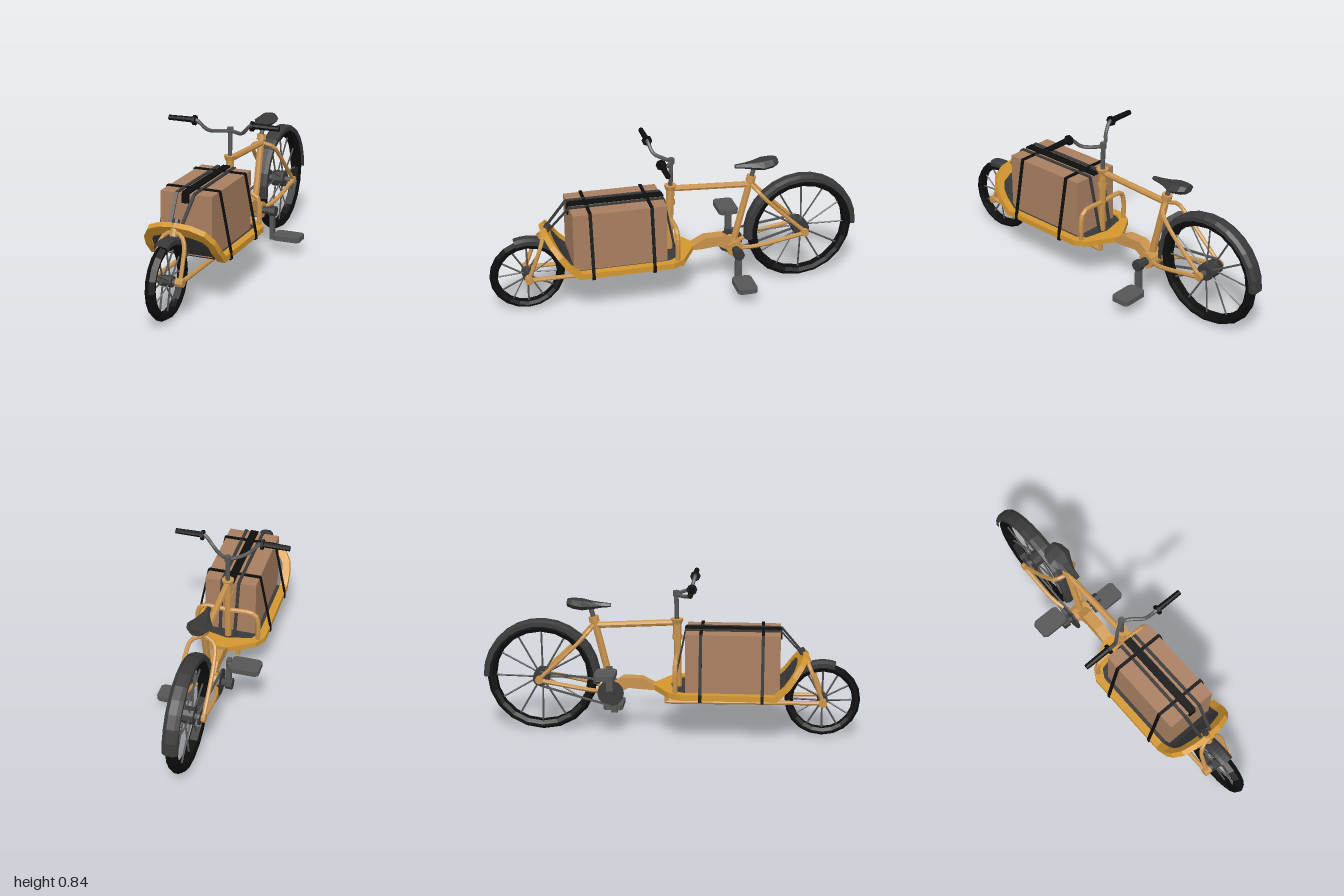
import * as THREE from 'three';

const V = (x, y, z) => new THREE.Vector3(x, y, z);
const mat = (name, color) => {
  const m = new THREE.MeshStandardMaterial({ color, side: THREE.DoubleSide });
  m.name = name;
  return m;
};

export function createModel() {
  const model = new THREE.Group();
  const frame = mat('frame amber', 0xc9934c), rim = mat('tray orange', 0xd4972f);
  const black = mat('rubber black', 0x0d0d0d), dark = mat('dark grey', 0x393939);
  const metal = mat('metal grey', 0x565656), card = mat('cardboard', 0xa97f61);

  // Faceted mesh
  const add = (name, geo, material, parent = model) => {
    const g = geo.index ? geo.toNonIndexed() : geo;
    g.computeVertexNormals();
    const m = new THREE.Mesh(g, material);
    m.name = name;
    parent.add(m);
    return m;
  };
  // Round rod between two points
  const rod = (name, a, b, r, material, r2 = r, sides = 8, parent = model) => {
    const m = add(name, new THREE.CylinderGeometry(r2, r, a.distanceTo(b), sides), material, parent);
    m.position.copy(a).add(b).multiplyScalar(0.5);
    m.quaternion.setFromUnitVectors(V(0, 1, 0), b.clone().sub(a).normalize());
    return m;
  };
  // Bent tube through points
  const tube = (name, pts, r, material, n = 16) =>
    add(name, new THREE.TubeGeometry(new THREE.CatmullRomCurve3(pts, false, 'centripetal'), n, r, 7), material);
  // Flat bar between two points
  const bar = (name, a, b, w, t, material) => {
    const m = add(name, new THREE.BoxGeometry(w, t, a.distanceTo(b)), material);
    m.position.copy(a).add(b).multiplyScalar(0.5);
    m.lookAt(b);
    return m;
  };
  const box = (name, w, h, d, x, y, z, material) => {
    const m = add(name, new THREE.BoxGeometry(w, h, d), material);
    m.position.set(x, y, z);
    return m;
  };
  // Skin through cross-sections
  const loft = (name, rings, closed, material) => {
    const n = rings[0].length, idx = [], R = rings.length;
    for (let i = 0; i < (closed ? R : R - 1); i++)
      for (let j = 0; j < n; j++) {
        const k = (j + 1) % n, q = ((i + 1) % R) * n;
        idx.push(i * n + j, i * n + k, q + k, i * n + j, q + k, q + j);
      }
    if (!closed) for (let j = 1; j < n - 1; j++) {
      const e = (R - 1) * n;
      idx.push(0, j + 1, j, e, e + j, e + j + 1);
    }
    const g = new THREE.BufferGeometry();
    g.setAttribute('position', new THREE.Float32BufferAttribute(rings.flat().flatMap(p => p.toArray()), 3));
    g.setIndex(idx);
    return add(name, g, material);
  };
  const lathe = (pts, segs, from = 0, len = Math.PI * 2) =>
    new THREE.LatheGeometry(pts.map(p => new THREE.Vector2(...p)), segs, from, len).rotateZ(Math.PI / 2);

  // Wheels with spokes, hub and mudguard
  const wheel = (name, y, z, r, depth, w, hub, guardFrom, guardTo) => {
    const g = new THREE.Group();
    g.name = name;
    g.position.set(0, y, z);
    model.add(g);
    add('tyre', lathe([[r - depth, -w * 0.7], [r - depth * 0.6, -w], [r - depth * 0.35, -w], [r, 0],
      [r - depth * 0.35, w], [r - depth * 0.6, w], [r - depth, w * 0.7], [r - depth, -w * 0.7]], 20), black, g);
    for (let i = 0; i < 12; i++) {
      const a = i * Math.PI / 6, s = i % 2 ? 0.02 : -0.02;
      rod('spoke', V(s, 0, 0), V(0, Math.sin(a) * (r - depth * 0.8), Math.cos(a) * (r - depth * 0.8)), 0.005, metal, 0.005, 4, g);
    }
    rod('hub', V(-0.035, 0, 0), V(0.035, 0, 0), hub, dark, hub, 10, g);
    rod('axle', V(-0.085, 0, 0), V(0.085, 0, 0), 0.015, metal, 0.015, 8, g);
    const o = r + 0.015, k = w + 0.009, d = Math.PI / 180;
    add('mudguard', lathe([[r - 0.018, -k], [r + 0.004, -k], [o, -k * 0.5], [o, k * 0.5], [r + 0.004, k], [r - 0.018, k],
      [r, k * 0.85], [o - 0.007, 0], [r, -k * 0.85], [r - 0.018, -k]], 14, guardFrom * d, (guardTo - guardFrom) * d), dark, g);
  };
  wheel('frontWheel', 0.203, 0.8, 0.198, 0.042, 0.026, 0.028, 72, 153);
  wheel('rearWheel', 0.3, -0.683, 0.296, 0.05, 0.03, 0.045, -6, 180);

  // Cargo tray: flat floor that bends up at the front
  const BEND = 0.56;
  const place = (x, s, h) => s < BEND ? V(x, 0.24 + h, s) : s === BEND ? V(x, 0.24 + h, s - 0.52 * h)
    : V(x, 0.24 + 0.82 * (s - BEND) + 0.57 * h, BEND + 0.57 * (s - BEND) - 0.82 * h + 0.02);
  // Half outline: outer x, outer s, inner x, inner s
  const half = [[0, -0.09, 0, 0], [0.04, -0.075, 0.04, 0.01], [0.165, 0, 0.13, 0.03], [0.2, 0.06, 0.16, 0.08],
    [0.2, BEND, 0.16, BEND], [0.198, 0.64, 0.157, 0.63], [0.188, 0.705, 0.152, 0.685],
    [0.15, 0.77, 0.13, 0.72], [0.08, 0.805, 0.07, 0.745], [0, 0.815, 0, 0.755]];
  const loop = half.concat(half.slice(1, -1).reverse().map(p => [-p[0], p[1], -p[2], p[3]]));
  loft('trayRim', loop.map(([a, s, b, t]) => [place(a, s, 0), place(a, s, 0.03), place(b, t, 0.03), place(b, t, 0)]), true, rim);
  loft('trayFloor', half.map(([, , b, t]) => [place(b, t, 0.008), place(b, t, 0.02), place(-b, t, 0.02), place(-b, t, 0.008)]), false, dark);

  // Cargo and straps
  box('cargoBox', 0.276, 0.313, 0.49, 0, 0.417, 0.33, card);
  for (const z of [0.165, 0.485]) {
    const p = [V(-0.202, 0.235, z), V(-0.2, 0.27, z), V(-0.141, 0.577, z), V(0.141, 0.577, z), V(0.2, 0.27, z), V(0.202, 0.235, z)];
    p.forEach((a, i) => bar('crossStrap', a, p[(i + 1) % p.length], 0.016, 0.008, black));
  }
  for (const s of [-1, 1]) {
    const p = [V(s * 0.04, 0.27, 0.02), V(s * 0.045, 0.577, 0.082), V(s * 0.047, 0.577, 0.579), V(s * 0.03, 0.45, 0.69)];
    for (let i = 0; i < 3; i++) bar('longStrap', p[i], p[i + 1], 0.016, 0.008, dark);
  }
  box('centreStrap', 0.042, 0.009, 0.5, 0, 0.579, 0.327, black);
  box('strapEnd', 0.038, 0.05, 0.009, 0, 0.552, 0.579, black);

  // Front fork arch, steering head and lower tubes
  tube('forkArch', [V(-0.07, 0.195, 0.805), V(-0.07, 0.3, 0.765), V(-0.065, 0.37, 0.738), V(-0.04, 0.41, 0.72), V(0, 0.42, 0.716),
    V(0.04, 0.41, 0.72), V(0.065, 0.37, 0.738), V(0.07, 0.3, 0.765), V(0.07, 0.195, 0.805)], 0.011, frame, 20);
  rod('forkHead', V(0, 0.4, 0.72), V(0, 0.46, 0.695), 0.02, frame);
  rod('forkCap', V(0, 0.45, 0.695), V(0, 0.475, 0.68), 0.018, dark);
  for (const s of [-1, 1]) {
    rod('lowerTube', V(s * 0.075, 0.203, 0.8), V(s * 0.07, 0.192, -0.02), 0.012, frame);
    rod('lowerTubeEnd', V(s * 0.07, 0.185, -0.015), V(s * 0.07, 0.25, -0.015), 0.011, frame);
    rod('axleNut', V(s * 0.05, 0.203, 0.8), V(s * 0.09, 0.203, 0.8), 0.022, frame);
  }

  // Rear tray hoop
  tube('trayHoop', [V(-0.165, 0.255, 0.035), V(-0.165, 0.38, 0.035), V(-0.145, 0.425, 0.035), V(0, 0.43, 0.035),
    V(0.145, 0.425, 0.035), V(0.165, 0.38, 0.035), V(0.165, 0.255, 0.035)], 0.013, frame, 24);

  // Steering column
  rod('columnTube', V(0, 0.25, 0.042), V(0, 0.53, 0.036), 0.019, frame);
  rod('columnCollar', V(0, 0.515, 0.036), V(0, 0.54, 0.036), 0.026, frame);
  rod('headTube', V(0, 0.53, 0.036), V(0, 0.61, 0.034), 0.022, frame);
  rod('headCollar', V(0, 0.6, 0.034), V(0, 0.625, 0.034), 0.026, frame, 0.034);
  rod('stem', V(0, 0.61, 0.034), V(0, 0.765, 0.03), 0.012, metal);
  rod('stemCap', V(0, 0.745, 0.03), V(0, 0.775, 0.03), 0.017, metal);

  // Handlebar and grips
  const bend = [[0.16, 0.822, 0.12], [0.14, 0.812, 0.118], [0.095, 0.768, 0.1], [0.05, 0.758, 0.06]];
  tube('handlebar', [...bend.map(p => V(-p[0], p[1], p[2])), V(0, 0.757, 0.036),
    ...bend.reverse().map(p => V(...p))], 0.01, metal, 20);
  for (const s of [-1, 1]) {
    rod('grip', V(s * 0.155, 0.819, 0.12), V(s * 0.305, 0.818, 0.12), 0.016, black, 0.014);
    rod('gripFlange', V(s * 0.153, 0.817, 0.12), V(s * 0.167, 0.817, 0.12), 0.027, black);
  }

  // Main frame
  rod('topTube', V(0, 0.605, 0.035), V(0, 0.582, -0.4), 0.017, frame);
  rod('seatTube', V(0, 0.225, -0.305), V(0, 0.62, -0.402), 0.019, frame);
  rod('seatClamp', V(0, 0.6, -0.398), V(0, 0.63, -0.405), 0.027, frame);
  rod('seatPost', V(0, 0.61, -0.4), V(0, 0.69, -0.422), 0.013, metal);
  const profile = [[-0.05, 0.242], [-0.13, 0.242], [-0.22, 0.25], [-0.31, 0.2], [-0.335, 0.235], [-0.3, 0.27], [-0.25, 0.305], [-0.15, 0.305], [-0.08, 0.268]];
  add('linkBeam', new THREE.ExtrudeGeometry(new THREE.Shape(profile.map(p => new THREE.Vector2(-p[0], p[1]))),
    { depth: 0.06, bevelEnabled: false }).rotateY(Math.PI / 2).translate(-0.03, 0, 0), frame);
  for (const s of [-1, 1]) {
    tube('seatStay', [V(0, 0.585, -0.4), V(s * 0.06, 0.56, -0.425), V(s * 0.075, 0.5, -0.48), V(s * 0.08, 0.3, -0.69)], 0.011, frame);
    tube('chainStay', [V(s * 0.015, 0.228, -0.31), V(s * 0.055, 0.238, -0.38), V(s * 0.075, 0.255, -0.46), V(s * 0.08, 0.297, -0.69)], 0.012, frame);
    rod('dropout', V(s * 0.072, 0.3, -0.686), V(s * 0.092, 0.3, -0.686), 0.022, frame);
  }

  // Saddle: z, half width, underside, edge, top
  loft('saddle', [[-0.54, 0.035, 0.685, 0.705, 0.72], [-0.51, 0.056, 0.675, 0.7, 0.722], [-0.46, 0.065, 0.668, 0.693, 0.717],
    [-0.41, 0.04, 0.672, 0.69, 0.708], [-0.36, 0.018, 0.678, 0.69, 0.704], [-0.313, 0.012, 0.682, 0.69, 0.7]]
    .map(([z, w, a, b, c]) => [V(w * 0.5, a, z), V(w, b, z), V(w * 0.5, c, z), V(-w * 0.5, c, z), V(-w, b, z), V(-w * 0.5, a, z)]), false, dark);

  // Cranks, pedals and chain
  const BY = 0.228, BZ = -0.312;
  rod('bottomBracket', V(-0.05, BY, BZ), V(0.05, BY, BZ), 0.045, frame, 0.045, 10);
  rod('crankSpindle', V(-0.115, BY, BZ), V(0.115, BY, BZ), 0.022, dark);
  rod('chainring', V(-0.067, BY, BZ), V(-0.057, BY, BZ), 0.07, dark, 0.07, 14);
  rod('sprocket', V(-0.067, 0.3, -0.683), V(-0.057, 0.3, -0.683), 0.04, dark, 0.04, 12);
  for (const s of [-1, 1])
    bar('chain', V(-0.062, BY + s * 0.068, BZ), V(-0.062, 0.3 + s * 0.038, -0.683), 0.01, 0.01, metal);
  for (const s of [-1, 1]) {
    const py = BY - s * 0.139;
    box('crankArm', 0.022, 0.175, 0.034, s * 0.105, BY - s * 0.072, BZ, metal);
    rod('crankBoss', V(s * 0.09, BY, BZ), V(s * 0.125, BY, BZ), 0.03, dark);
    rod('pedalAxle', V(s * 0.1, py, BZ - 0.01), V(s * 0.15, py, BZ - 0.01), 0.011, metal);
    const pedal = [[0.04, -0.036], [0.1, -0.053], [0.16, -0.036], [0.16, 0.036], [0.1, 0.053], [0.04, 0.036]];
    add('pedal', new THREE.ExtrudeGeometry(new THREE.Shape([[0.118, -0.04], [0.135, -0.053], [0.255, -0.053], [0.272, -0.04],
      [0.272, 0.04], [0.255, 0.053], [0.135, 0.053], [0.118, 0.04]].map(p => new THREE.Vector2(...p))),
      { depth: 0.028, bevelEnabled: false }).rotateX(Math.PI / 2).rotateY(s < 0 ? Math.PI : 0).translate(0, py + 0.014, BZ - 0.01), metal);
  }

  return model;
}
